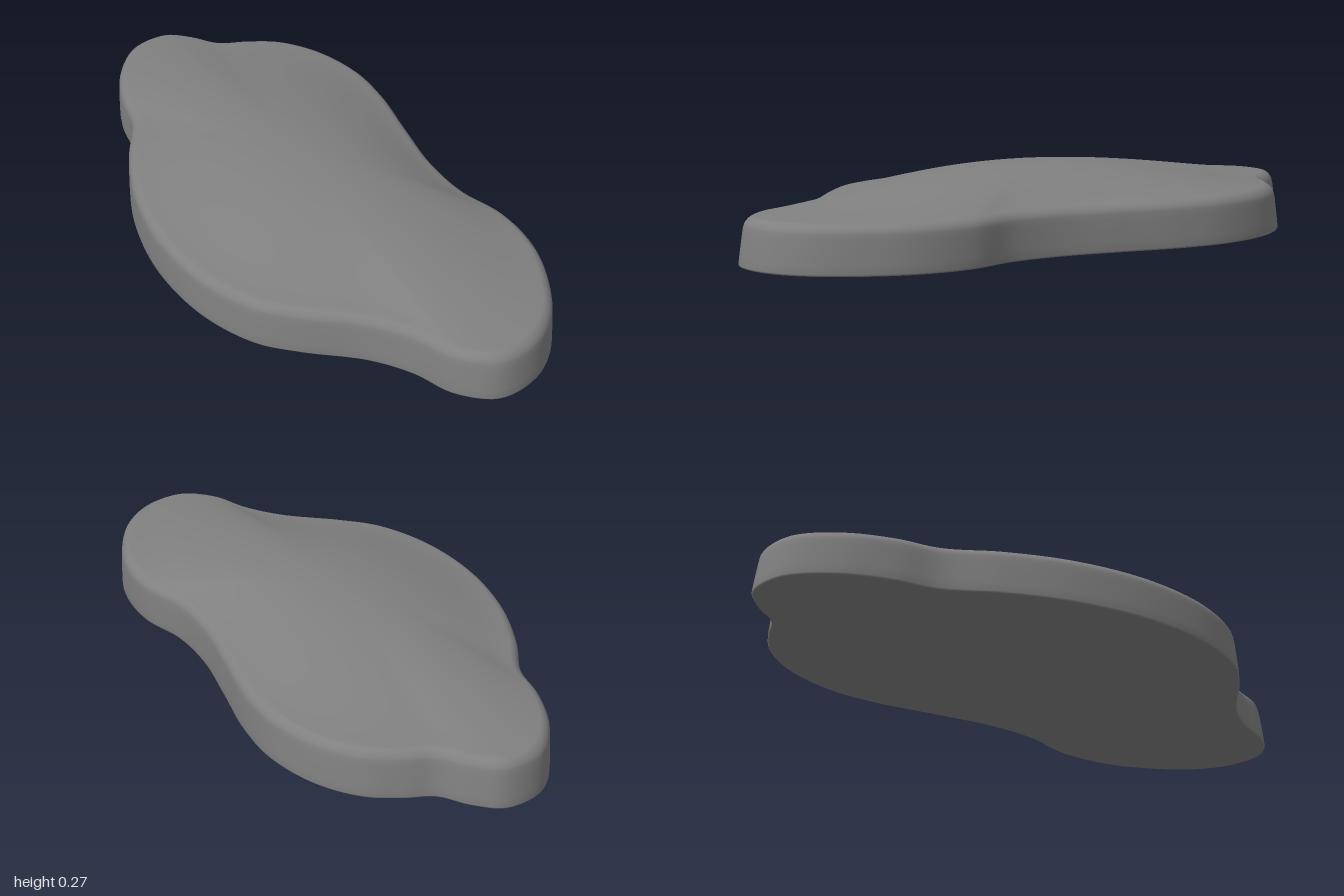
import * as THREE from 'three';

// Plan outline as [x, z], running clockwise seen from above
const OUTLINE = [
  [-0.38, -1.0], [-0.28, -0.965], [-0.19, -0.905], [-0.09, -0.895], [0.03, -0.865],
  [0.16, -0.77], [0.27, -0.61], [0.325, -0.44], [0.36, -0.22], [0.395, -0.02],
  [0.46, 0.16], [0.555, 0.3], [0.605, 0.45], [0.613, 0.6], [0.57, 0.81],
  [0.48, 0.94], [0.35, 1.0], [0.22, 0.95], [0.12, 0.84], [0.0, 0.755],
  [-0.2, 0.675], [-0.33, 0.605], [-0.47, 0.445], [-0.575, 0.21], [-0.619, -0.05],
  [-0.608, -0.28], [-0.573, -0.47], [-0.59, -0.62], [-0.575, -0.79], [-0.505, -0.94],
];
const SEGMENTS = 240;
const CENTRE_X = -0.05;

// Each ring: height, inset from the outline, scale towards the centre
function makeRings() {
  const rings = [];
  const add = (y, inset, scale = 1) => rings.push({ y, inset, scale });
  // Slightly bulging underside
  for (let i = 0; i <= 8; i++) add(0.015 * (i / 8) ** 2, 0.008, i / 8);
  // Small lower edge and nearly upright wall
  add(0.017, 0.003);
  add(0.022, 0);
  add(0.05, 0);
  add(0.09, 0.001);
  add(0.125, 0.002);
  // Rounded shoulder
  for (let i = 1; i <= 8; i++) {
    const a = (i / 8) * Math.PI * 0.42;
    add(0.135 + 0.039 * Math.sin(a), 0.003 + 0.04 * (1 - Math.cos(a)));
  }
  // Domed top, still sloping a little where it meets the shoulder
  const { y, inset } = rings[rings.length - 1];
  for (let i = 23; i >= 0; i--) {
    const s = i / 24;
    const d = 1 - s * s;
    add(y + (0.27 - y) * (0.7 * d ** 1.7 + 0.3 * d), inset, s);
  }
  return rings;
}

// Outline points with outward normals, and the ellipse that best follows them
function makeEdge() {
  const curve = new THREE.CatmullRomCurve3(
    OUTLINE.map(([x, z]) => new THREE.Vector3(x, 0, z)), true, 'centripetal');
  const edge = [];
  const cosAxis = new THREE.Vector3();
  const sinAxis = new THREE.Vector3();
  for (let j = 0; j < SEGMENTS; j++) {
    const p = curve.getPointAt(j / SEGMENTS);
    const t = curve.getTangentAt(j / SEGMENTS);
    const angle = (j / SEGMENTS) * Math.PI * 2;
    cosAxis.addScaledVector(p, (2 / SEGMENTS) * Math.cos(angle));
    sinAxis.addScaledVector(p, (2 / SEGMENTS) * Math.sin(angle));
    edge.push({ x: p.x, z: p.z, nx: t.z, nz: -t.x, angle });
  }
  for (const e of edge) {
    e.ellipse = cosAxis.clone().multiplyScalar(Math.cos(e.angle))
      .addScaledVector(sinAxis, Math.sin(e.angle));
  }
  return edge;
}

function makeSlab() {
  const edge = makeEdge();
  const rings = makeRings();
  const positions = [];
  const indices = [];
  rings.forEach(({ y, inset, scale }, i) => {
    // The long ends lean in a little more than the sides
    const lean = 1 - 0.12 * Math.min(Math.max(y - 0.022, 0), 0.15);
    edge.forEach((e, j) => {
      // Inner rings relax from the wavy outline into the ellipse
      const x = THREE.MathUtils.lerp(e.ellipse.x, e.x - e.nx * inset - CENTRE_X, scale);
      const z = THREE.MathUtils.lerp(e.ellipse.z, (e.z - e.nz * inset) * lean, scale);
      positions.push(CENTRE_X + x * scale, y, z * scale);
      if (i === rings.length - 1) return;
      const a = i * SEGMENTS + j;
      const b = i * SEGMENTS + (j + 1) % SEGMENTS;
      const c = a + SEGMENTS;
      const d = b + SEGMENTS;
      if (scale > 0) indices.push(a, c, b);
      if (rings[i + 1].scale > 0) indices.push(b, c, d);
    });
  });

  const geometry = new THREE.BufferGeometry();
  geometry.setAttribute('position', new THREE.Float32BufferAttribute(positions, 3));
  geometry.setIndex(indices);
  geometry.computeVertexNormals();
  // Clean normals at the two centre points
  const normals = geometry.attributes.normal;
  const last = (rings.length - 1) * SEGMENTS;
  for (let j = 0; j < SEGMENTS; j++) {
    normals.setXYZ(j, 0, -1, 0);
    normals.setXYZ(last + j, 0, 1, 0);
  }
  return geometry;
}

export function createModel() {
  const group = new THREE.Group();
  group.name = 'steppingStone';
  const slab = new THREE.Mesh(makeSlab(), new THREE.MeshStandardMaterial({ color: 0x808080 }));
  slab.name = 'domedSlab';
  group.add(slab);
  return group;
}
